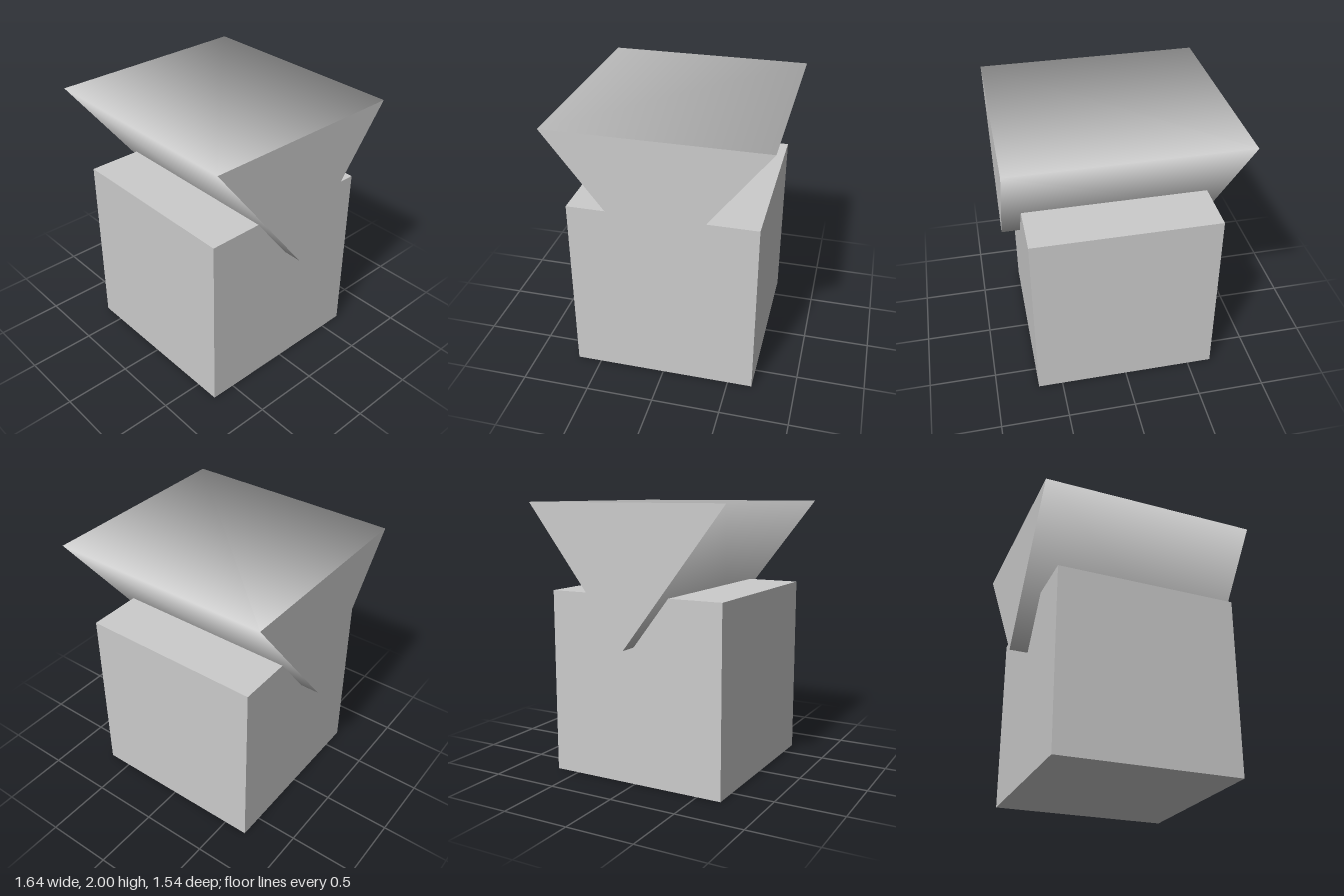
import * as THREE from 'three';

export function createModel() {
  const model = new THREE.Group();
  const material = new THREE.MeshStandardMaterial({ color: 0xcccccc });

  const add = (name, geometry, y) => {
    const mesh = new THREE.Mesh(geometry, material);
    mesh.name = name;
    mesh.position.y = y;
    model.add(mesh);
  };

  // Cubic base standing on the ground
  const side = 1.364;
  add('baseBlock', new THREE.BoxGeometry(side, side, side), side / 2);

  // Three-sided smooth-shaded prism lying along x, one edge sunk into the base
  const radius = 0.887, squash = 0.75;
  const prism = new THREE.CylinderGeometry(radius, radius, 1.64, 3)
    .rotateZ(Math.PI / 2)
    .rotateX(Math.PI / 2)
    .scale(1, squash, 1);
  add('topPrism', prism, 2 - (radius * squash) / 2);

  return model;
}
